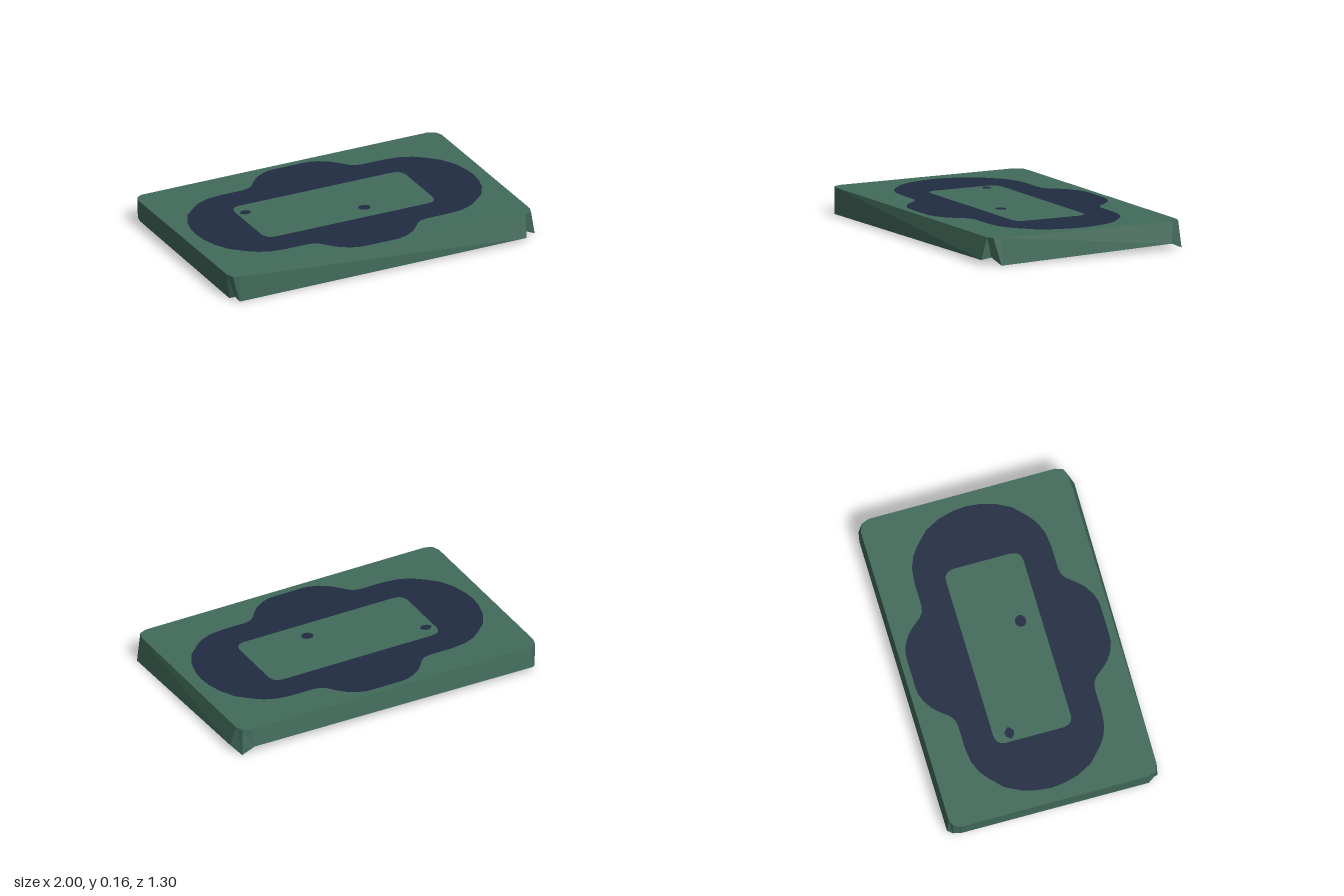
import * as THREE from 'three';

const TOP = 0.163;
const green = new THREE.MeshStandardMaterial({ color: 0x426b5b, side: THREE.DoubleSide, flatShading: true });
green.name = 'muted green';
const navy = new THREE.MeshStandardMaterial({ color: 0x222c42, side: THREE.DoubleSide, flatShading: true });
navy.name = 'dark navy';

// Plan points are [x, z]; shapes are drawn with y = -z and laid flat.
const toPoints = (list) => list.map(([x, z]) => new THREE.Vector2(x, -z));

function flatPart(name, outline, holes, material) {
  const shape = new THREE.Shape(toPoints(outline));
  holes.forEach((h) => shape.holes.push(new THREE.Path(toPoints(h))));
  const mesh = new THREE.Mesh(new THREE.ShapeGeometry(shape), material);
  mesh.rotation.x = -Math.PI / 2;
  mesh.position.y = TOP;
  mesh.name = name;
  return mesh;
}

// Mirror a quarter outline (from the x axis to the z axis) into a closed loop
function mirrorQuarter(q, cx, cz) {
  const back = q.slice().reverse();
  return [
    ...q.map(([x, z]) => [x, z]),
    ...back.map(([x, z]) => [-x, z]),
    ...q.slice(1).map(([x, z]) => [-x, -z]),
    ...back.slice(0, -1).map(([x, z]) => [x, -z]),
  ].map(([x, z]) => [x + cx, z + cz]);
}

function ellipse(cx, cz, rx, rz, n) {
  return Array.from({ length: n }, (_, i) => {
    const a = (i / n) * Math.PI * 2;
    return [cx + rx * Math.cos(a), cz + rz * Math.sin(a)];
  });
}

export function createModel() {
  const model = new THREE.Group();
  model.name = 'tray';

  // Rim: top [x, z] paired with the uneven bottom [x, y, z], three per corner
  const rim = [
    [[-0.94, 0.615], [-0.95, 0.006, 0.617]],
    [[0.905, 0.615], [0.895, 0.03, 0.647]],
    [[0.95, 0.597], [0.92, 0.045, 0.595]],
    [[0.967, 0.55], [0.99, 0.005, 0.565]],
    [[0.967, -0.57], [0.995, 0.04, -0.55]],
    [[0.95, -0.615], [0.96, 0.005, -0.632]],
    [[0.9, -0.635], [0.885, 0.05, -0.648]],
    [[-0.95, -0.635], [-0.955, 0.035, -0.65]],
    [[-0.985, -0.615], [-0.978, 0.03, -0.622]],
    [[-1, -0.57], [-0.99, 0.03, -0.57]],
    [[-1, 0.55], [-0.985, 0.01, 0.555]],
    [[-0.983, 0.597], [-0.965, 0.03, 0.592]],
  ];

  // Navy band outline, inner window and two spots
  const band = mirrorQuarter([
    [0.9, 0], [0.892, 0.08], [0.868, 0.17], [0.82, 0.26], [0.74, 0.335],
    [0.69, 0.372], [0.62, 0.4], [0.53, 0.411], [0.385, 0.411], [0.345, 0.419],
    [0.315, 0.44], [0.275, 0.49], [0.235, 0.53], [0.18, 0.564], [0.13, 0.58], [0.09, 0.583],
  ], -0.013, -0.012);
  const panel = mirrorQuarter([
    [0.556, 0], [0.556, 0.175], [0.545, 0.21], [0.525, 0.227], [0.495, 0.233],
  ], -0.019, -0.012);
  const spots = [
    [[-0.56, -0.15], [-0.54, -0.172], [-0.522, -0.179], [-0.505, -0.173], [-0.483, -0.15],
      [-0.505, -0.126], [-0.522, -0.122], [-0.54, -0.128]],
    ellipse(0.122, 0.102, 0.037, 0.033, 12),
  ];

  // Flat top, fitted together without overlap
  model.add(flatPart('topBorder', rim.map((r) => r[0]), [band], green));
  model.add(flatPart('band', band, [panel], navy));
  model.add(flatPart('centrePanel', panel, spots, green));
  spots.forEach((s) => model.add(flatPart('spot', s, [], navy)));

  // Thin skirt hanging from the rim, open underneath
  const pos = [];
  rim.forEach(([t, b], i) => {
    const [t2, b2] = rim[(i + 1) % rim.length];
    pos.push(t[0], TOP, t[1], ...b, ...b2);
    pos.push(t[0], TOP, t[1], ...b2, t2[0], TOP, t2[1]);
  });
  const geometry = new THREE.BufferGeometry();
  geometry.setAttribute('position', new THREE.Float32BufferAttribute(pos, 3));
  geometry.computeVertexNormals();
  const skirt = new THREE.Mesh(geometry, green);
  skirt.name = 'skirt';
  model.add(skirt);

  return model;
}
